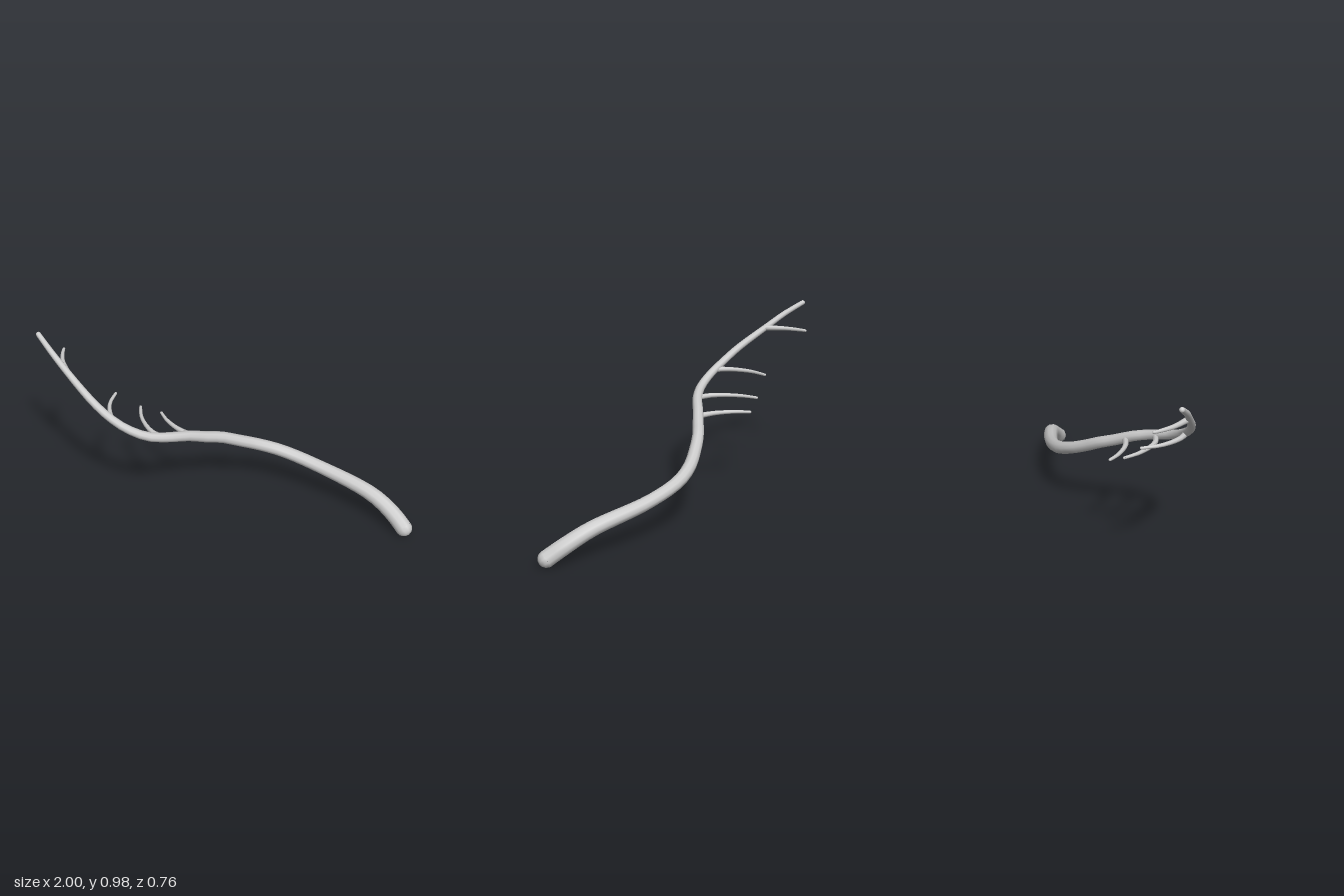
import * as THREE from 'three';

const material = new THREE.MeshStandardMaterial({ color: 0xcccccc });

// Round limb along a smooth path; points are [x, y, z, radius], with rounded ends.
function taperedLimb(name, points, segments, sides) {
  const curve = new THREE.CatmullRomCurve3(points.map(p => new THREE.Vector3(p[0], p[1], p[2])));
  curve.arcLengthDivisions = 400;
  const radiusAt = t => {
    const f = t * (points.length - 1);
    const i = Math.min(Math.floor(f), points.length - 2);
    return THREE.MathUtils.lerp(points[i][3], points[i + 1][3], f - i);
  };
  const geometry = new THREE.TubeGeometry(curve, segments, 1, sides);
  const pos = geometry.attributes.position;
  const v = new THREE.Vector3();
  for (let i = 0; i <= segments; i++) {
    const t = curve.getUtoTmapping(i / segments);
    const centre = curve.getPoint(t);
    for (let j = 0; j <= sides; j++) {
      const k = i * (sides + 1) + j;
      v.fromBufferAttribute(pos, k).sub(centre).multiplyScalar(radiusAt(t)).add(centre);
      pos.setXYZ(k, v.x, v.y, v.z);
    }
  }
  const limb = new THREE.Group();
  limb.name = name;
  const stem = new THREE.Mesh(geometry, material);
  stem.name = name + 'Stem';
  limb.add(stem);

  // Hemispherical caps facing outward along the path
  for (const t of [0, 1]) {
    const cap = new THREE.Mesh(
      new THREE.SphereGeometry(radiusAt(t), sides, 4, 0, Math.PI * 2, 0, Math.PI / 2), material);
    cap.name = name + (t ? 'Tip' : 'Butt');
    cap.position.copy(curve.getPoint(t));
    const outward = curve.getTangent(t).multiplyScalar(t ? 1 : -1);
    cap.quaternion.setFromUnitVectors(new THREE.Vector3(0, 1, 0), outward);
    limb.add(cap);
  }
  return limb;
}

export function createModel() {
  const group = new THREE.Group();
  group.name = 'branch';

  // Main branch, thick end low at +x, thin end high at -x
  group.add(taperedLimb('mainBranch', [
    [0.953, 0.046, -0.30, 0.046],
    [0.87, 0.1, -0.324, 0.045],
    [0.73, 0.165, -0.341, 0.042],
    [0.4, 0.235, -0.334, 0.036],
    [0.2, 0.288, -0.292, 0.035],
    [0.09, 0.331, -0.228, 0.034],
    [0, 0.383, -0.14, 0.033],
    [-0.06, 0.425, -0.07, 0.032],
    [-0.11, 0.459, 0.01, 0.031],
    [-0.165, 0.502, 0.1, 0.029],
    [-0.22, 0.532, 0.195, 0.027],
    [-0.3, 0.563, 0.285, 0.025],
    [-0.4, 0.612, 0.338, 0.023],
    [-0.5, 0.668, 0.357, 0.022],
    [-0.6, 0.732, 0.357, 0.021],
    [-0.78, 0.844, 0.325, 0.018],
    [-0.88, 0.908, 0.303, 0.016],
    [-0.987, 0.969, 0.269, 0.014],
  ], 44, 10));

  // Side twigs: level curves, each given by its height and [x, z] points
  const twigs = [
    [0.482, [[-0.16, 0.06], [-0.23, 0.058], [-0.29, 0.043], [-0.365, 0.01], [-0.422, -0.03]]],
    [0.531, [[-0.23, 0.21], [-0.31, 0.208], [-0.38, 0.175], [-0.46, 0.11], [-0.512, 0.038]]],
    [0.628, [[-0.44, 0.345], [-0.49, 0.325], [-0.55, 0.27], [-0.595, 0.2], [-0.619, 0.114]]],
    [0.836, [[-0.765, 0.325], [-0.81, 0.29], [-0.855, 0.25], [-0.9, 0.19], [-0.922, 0.15]]],
  ];
  twigs.forEach(([y, path], n) => {
    const points = path.map(([x, z], i) => [x, y, z, 0.016 - 0.002 * i]);
    group.add(taperedLimb('twig' + (n + 1), points, 8, 8));
  });
  return group;
}
